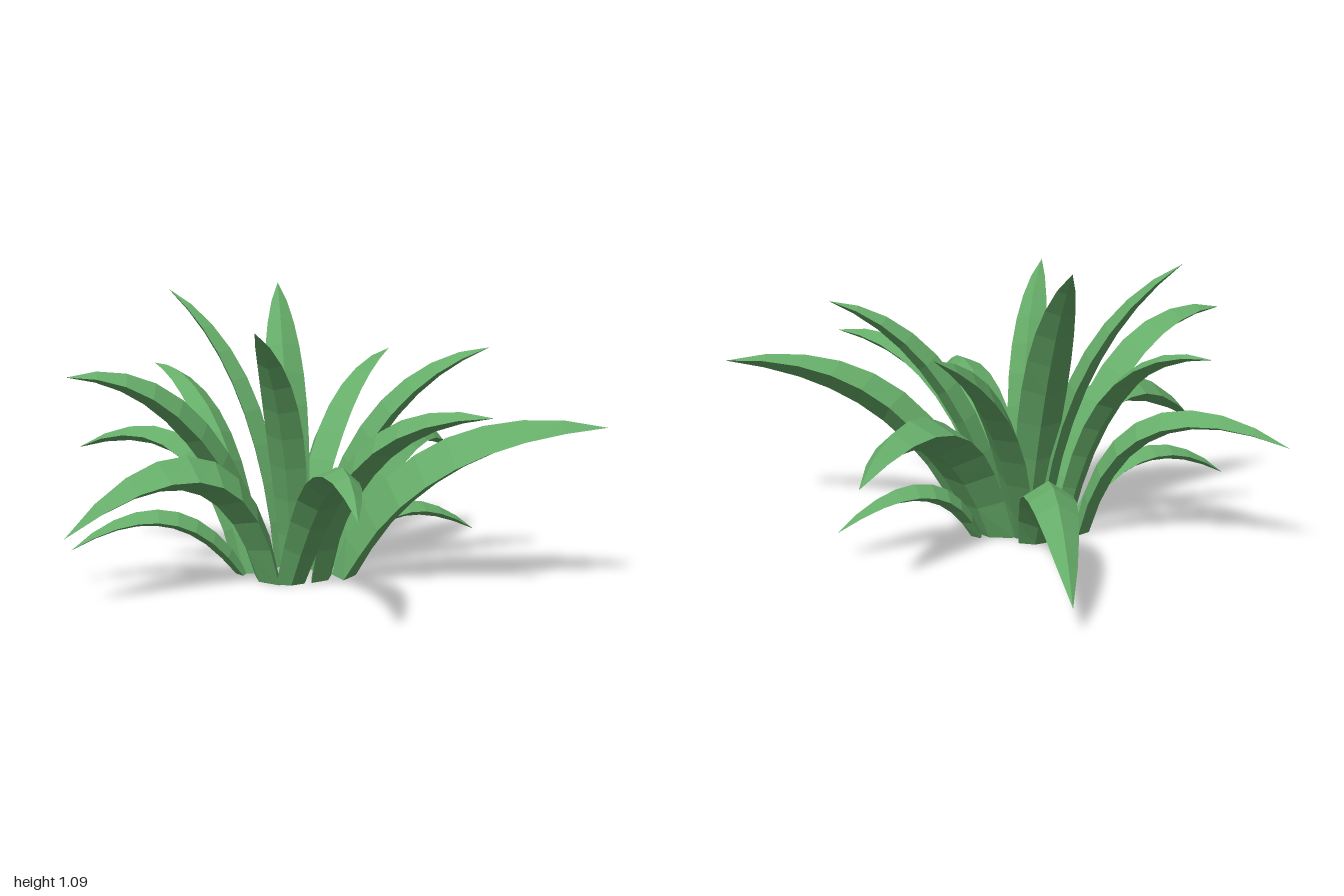
import * as THREE from 'three';

const leafGreen = new THREE.MeshStandardMaterial({ color: 0x66ad69 });
leafGreen.name = 'leafGreen';

// Relative half width of a blade from root to tip
const PROFILE = [0.68, 0.8, 0.9, 0.98, 1, 0.95, 0.83, 0.64, 0.38, 0];

// tip x, y, z | midpoint x, y, z | root x, z | half width
const LEAVES = [
  // low, drooping leaves
  [0.80, 0.09, -0.91, 0.39, 0.28, -0.47, 0.15, -0.19, 0.09],
  [0.78, 0.10, 0.22, 0.45, 0.20, 0.11, 0.23, 0.04, 0.065],
  [-0.76, 0.13, -0.42, -0.44, 0.23, -0.25, -0.17, -0.13, 0.065],
  // wide arching leaves
  [-1.00, 0.26, -0.10, -0.48, 0.43, -0.01, -0.17, 0.03, 0.13],
  [1.00, 0.38, -0.14, 0.50, 0.44, -0.01, 0.18, -0.01, 0.125],
  [-0.55, 0.42, 0.93, -0.26, 0.45, 0.48, -0.14, 0.13, 0.08],
  [-0.33, 0.41, -1.00, -0.15, 0.44, -0.52, -0.08, -0.24, 0.085],
  [0.64, 0.62, 1.00, 0.27, 0.47, 0.52, 0.12, 0.16, 0.135],
  [0.14, 0.69, 0.89, 0.025, 0.51, 0.42, 0.00, 0.15, 0.105],
  // upright leaves
  [-0.82, 0.80, -0.34, -0.41, 0.61, -0.17, -0.10, -0.07, 0.105],
  [-0.05, 0.76, -0.84, -0.12, 0.56, -0.37, -0.12, -0.11, 0.065],
  [0.78, 0.81, -0.28, 0.40, 0.52, -0.22, 0.13, -0.10, 0.095],
  [0.50, 0.89, 0.54, 0.24, 0.60, 0.23, 0.11, 0.00, 0.09],
  [-0.43, 0.98, 0.27, -0.16, 0.62, 0.11, -0.02, 0.01, 0.075],
  [-0.10, 1.08, -0.67, 0.02, 0.66, -0.33, 0.03, -0.13, 0.07],
  [0.41, 1.09, -0.58, 0.20, 0.67, -0.29, 0.08, -0.09, 0.085],
];

// Blade with a diamond section (ridge above, keel below) swept along an arc
function leafGeometry([tx, ty, tz, mx, my, mz, rx, rz, halfWidth]) {
  const root = new THREE.Vector3(rx, 0, rz);
  const tip = new THREE.Vector3(tx, ty, tz);
  // control point that makes the arc pass through the midpoint
  const bend = new THREE.Vector3(mx, my, mz).multiplyScalar(2)
    .addScaledVector(root, -0.5).addScaledVector(tip, -0.5);
  const curve = new THREE.QuadraticBezierCurve3(root, bend, tip);
  // the blade leans with the plane of its arc
  const lean = bend.clone().sub(root).cross(tip.clone().sub(bend)).normalize();
  const up = new THREE.Vector3(0, 1, 0);
  const ridge = halfWidth * 0.62, keel = halfWidth * 0.42;
  const positions = [], index = [];
  const last = PROFILE.length - 1;

  PROFILE.forEach((w, i) => {
    const p = curve.getPoint(i / last);
    // the root section lies flat on the ground
    const tangent = i === 0 ? up : curve.getTangent(i / last);
    const side = i === 0 ? lean.clone().setY(0).normalize() : lean;
    const normal = new THREE.Vector3().crossVectors(tangent, side);
    const corners = [[side, halfWidth], [normal, ridge], [side, -halfWidth], [normal, -keel]];
    for (const [dir, d] of corners) {
      positions.push(...p.clone().addScaledVector(dir, d * w).toArray());
    }
    if (i === last) return;
    for (let j = 0; j < 4; j++) {
      const a = i * 4 + j, b = i * 4 + (j + 1) % 4;
      index.push(a, b, a + 4);
      if (i < last - 1) index.push(b, b + 4, a + 4);
    }
  });
  index.push(0, 2, 1, 0, 3, 2); // root cap

  const indexed = new THREE.BufferGeometry();
  indexed.setAttribute('position', new THREE.Float32BufferAttribute(positions, 3));
  indexed.setIndex(index);
  const faceted = indexed.toNonIndexed();
  faceted.computeVertexNormals();
  return faceted;
}

export function createModel() {
  const plant = new THREE.Group();
  plant.name = 'plant';
  LEAVES.forEach((leaf, i) => {
    const mesh = new THREE.Mesh(leafGeometry(leaf), leafGreen);
    mesh.name = `leaf${i + 1}`;
    plant.add(mesh);
  });
  return plant;
}
